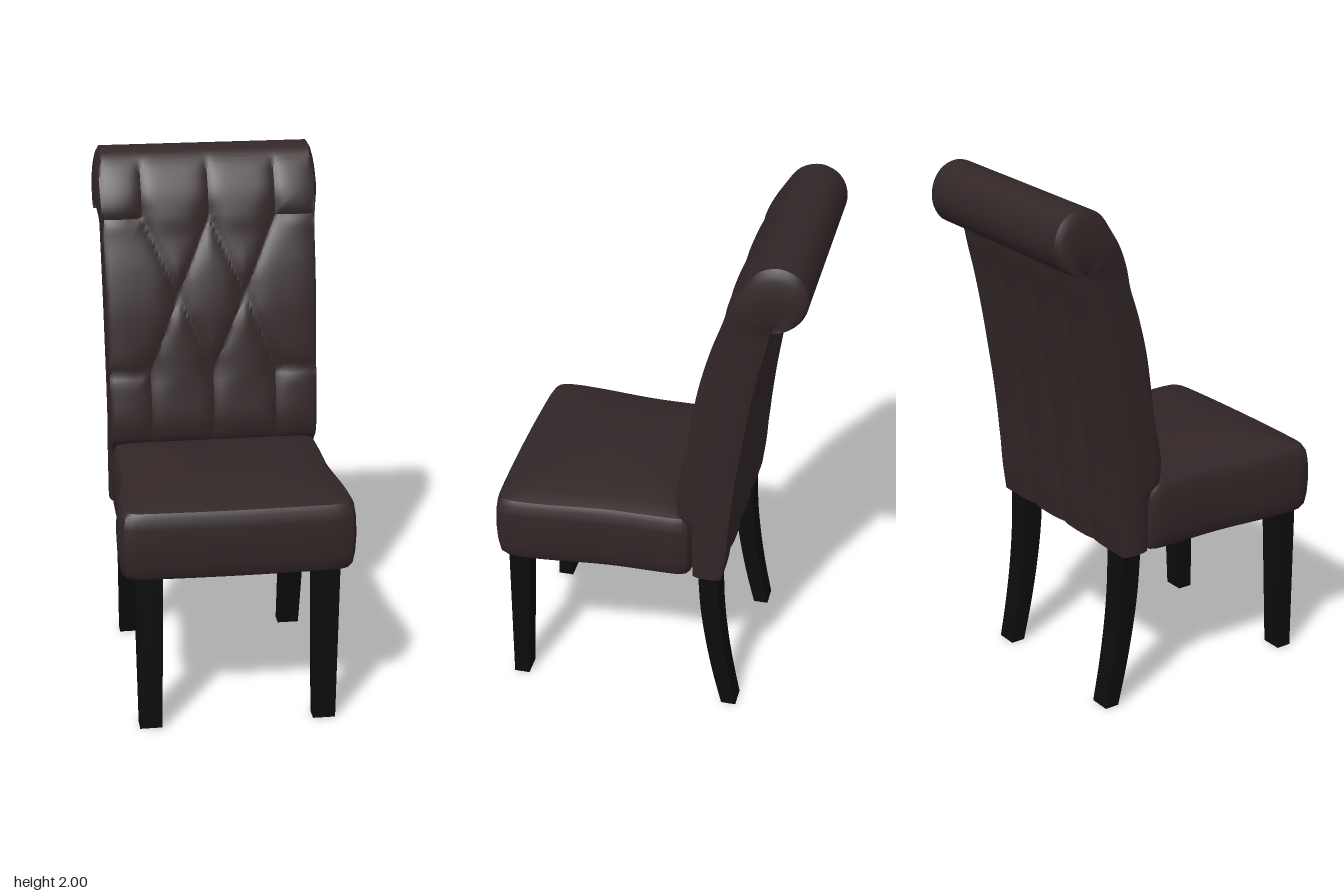
import * as THREE from 'three';
import { toCreasedNormals } from 'three/addons/utils/BufferGeometryUtils.js';

// Skin between closed rings of [x, y, z]; rings run counter-clockwise seen from above, bottom to top.
function loft(rings, crease = 0.7) {
  const n = rings[0].length, pos = rings.flat(2), idx = [];
  for (let i = 0; i < rings.length - 1; i++) {
    for (let j = 0; j < n; j++) {
      const k = (j + 1) % n, a = i * n + j, b = i * n + k;
      idx.push(a, b, b + n, a, b + n, a + n);
    }
  }
  [0, rings.length - 1].forEach((r, end) => {
    const c = pos.length / 3;
    for (let d = 0; d < 3; d++) pos.push(rings[r].reduce((s, p) => s + p[d], 0) / n);
    for (let j = 0; j < n; j++) {
      const a = r * n + j, b = r * n + (j + 1) % n;
      idx.push(c, end ? a : b, end ? b : a);
    }
  });
  const g = new THREE.BufferGeometry();
  g.setAttribute('position', new THREE.Float32BufferAttribute(pos, 3));
  g.setIndex(idx);
  return toCreasedNormals(g, crease);
}

// Seams of the tufted front, one half: x1, y1, x2, y2
const SEAMS = [
  [0, 2.0, 0, 1.75], [0.26, 1.95, 0.26, 1.75], [0.26, 1.75, 0.42, 1.75],
  [0, 1.75, 0.13, 1.46], [0.13, 1.46, 0, 1.17], [0.26, 1.75, 0.13, 1.46], [0.13, 1.46, 0.245, 1.17],
  [0.245, 1.17, 0.42, 1.17], [0, 1.17, 0, 0.9], [0.245, 1.17, 0.245, 0.9],
];
const BUTTONS = [[0, 1.75], [0.26, 1.75], [0.13, 1.46], [0, 1.17], [0.245, 1.17]];

function tuftDepth(x, y) {
  const ax = Math.abs(x);
  let d = 1;
  for (const [x1, y1, x2, y2] of SEAMS) {
    const dx = x2 - x1, dy = y2 - y1;
    const t = THREE.MathUtils.clamp(((ax - x1) * dx + (y - y1) * dy) / (dx * dx + dy * dy), 0, 1);
    d = Math.min(d, Math.hypot(ax - x1 - t * dx, y - y1 - t * dy));
  }
  let depth = 0.016 * Math.exp(-d / 0.025);
  for (const [bx, by] of BUTTONS) depth += 0.012 * Math.exp(-((ax - bx) ** 2 + (y - by) ** 2) / 0.0036);
  return depth;
}

// Padded back with a scroll top: matching front and rear profile points [z, y]
function backGeometry() {
  const front = [[-0.19, 0.63], [-0.185, 0.75], [-0.18, 0.85], [-0.13, 0.9], [-0.116, 0.96], [-0.135, 1.1],
    [-0.16, 1.25], [-0.187, 1.42], [-0.222, 1.56], [-0.26, 1.68], [-0.278, 1.76], [-0.318, 1.86], [-0.38, 1.95],
    [-0.43, 1.988], [-0.49, 2.0], [-0.55, 1.975], [-0.585, 1.92], [-0.588, 1.85], [-0.55, 1.785], [-0.48, 1.758]];
  const rear = [[-0.3, 0.63], [-0.315, 0.75], [-0.322, 0.85], [-0.327, 0.9], [-0.332, 0.96], [-0.347, 1.1],
    [-0.368, 1.25], [-0.394, 1.42], [-0.42, 1.56], [-0.447, 1.68], [-0.458, 1.735]];
  while (rear.length < front.length) rear.push([-0.465, 1.755]);
  const curve = p => new THREE.CatmullRomCurve3(p.map(([z, y]) => new THREE.Vector3(0, y, z)));
  const fc = curve(front), rc = curve(rear);
  const NV = 150, NX = 72, NS = 12, rings = [];
  for (let i = 0; i <= NV; i++) {
    const v = i / NV, f = fc.getPoint(v), r = rc.getPoint(v), ring = [];
    const onFront = v < 14 / 19;
    const roll = THREE.MathUtils.smoothstep(f.y, 1.7, 1.9);
    const w = 0.4 + 0.007 * THREE.MathUtils.smoothstep(f.y, 0.9, 1.9);
    const bulge = 0.012 + 0.016 * (onFront ? roll : 1);
    const side = (s, t) => [s * (w + bulge * Math.sin(Math.PI * t) ** 0.6),
      THREE.MathUtils.lerp(f.y, r.y, t), THREE.MathUtils.lerp(f.z, r.z, t)];
    for (let k = 1; k < NS; k++) ring.push(side(1, k / NS));
    for (let k = 0; k <= NX; k++) {
      const x = w * (1 - 2 * k / NX);
      const d = Math.min(Math.abs(x), Math.abs(Math.abs(x) - 0.2));
      const fade = 1 - THREE.MathUtils.smoothstep(r.y, 1.6, 1.73);
      ring.push([x, r.y, r.z + 0.01 * fade * Math.exp(-d / 0.03)]);
    }
    for (let k = NS - 1; k > 0; k--) ring.push(side(-1, k / NS));
    for (let k = 0; k <= NX; k++) {
      const x = w * (2 * k / NX - 1);
      const fade = THREE.MathUtils.smoothstep(f.y, 0.86, 0.95) * (1 - THREE.MathUtils.smoothstep(f.y, 1.9, 1.99));
      const dent = onFront ? fade * (tuftDepth(x, f.y) + 0.012 * Math.abs(x / w) ** 10) : 0;
      ring.push([x, f.y, f.z - dent]);
    }
    rings.push(ring);
  }
  return loft(rings);
}

// Seat cushion: rounded outline, puffed sides and a domed top
function seatGeometry() {
  const N = 24, outline = [];
  for (let s = 0; s < 4; s++) {
    for (let k = 0; k < N; k++) {
      const t = 2 * k / N - 1;
      const [u, w] = [[1, -t], [-t, -1], [-1, t], [t, 1]][s];
      const m = (Math.abs(u) ** 18 + Math.abs(w) ** 18) ** (1 / 18);
      outline.push([u / m, w / m]);
    }
  }
  const ring = (inset, scale, y) => outline.map(([u, w]) => {
    let z = 0.2 + w * 0.382 * scale;
    const width = 0.412 + 0.03 * THREE.MathUtils.smoothstep(z, 0.08, 0.5);
    if (w > 0) z += 0.01 * w * (1 - u * u);
    return [u * scale * (width - inset), y, z - w * inset * (w > 0 ? 1 : 0.4)];
  });
  const rings = [[0.05, 0.64], [0.045, 0.622], [0.02, 0.62], [0.01, 0.635], [0.003, 0.68], [0, 0.75],
    [0.003, 0.82], [0.009, 0.86], [0.02, 0.879]].map(([i, y]) => ring(i, 1, y));
  for (let k = 1; k < 14; k++) {
    const s = 1 - k / 14;
    rings.push(ring(0.02, s, 0.881 + 0.05 * (1 - s ** 2.4)));
  }
  return loft(rings, 0.6);
}

// Square leg from stations [y, inner x, outer x, rear z, front z]
function legGeometry(stations, s) {
  return loft(stations.map(([y, xi, xo, zb, zf]) => {
    const [x0, x1] = s > 0 ? [xi, xo] : [-xo, -xi];
    return [[x1, y, zf], [x1, y, zb], [x0, y, zb], [x0, y, zf]];
  }), 0.6);
}

export function createModel() {
  const upholstery = new THREE.MeshStandardMaterial({ color: 0x322627 });
  upholstery.name = 'dark brown upholstery';
  const wood = new THREE.MeshStandardMaterial({ color: 0x0c0c0c });
  wood.name = 'black wood';
  const lining = new THREE.MeshStandardMaterial({ color: 0x463b27 });
  lining.name = 'olive lining';

  const group = new THREE.Group();
  group.name = 'diningChair';
  const add = (name, geometry, material) => {
    const mesh = new THREE.Mesh(geometry, material);
    mesh.name = name;
    group.add(mesh);
    return mesh;
  };

  add('backrest', backGeometry(), upholstery);
  add('seat', seatGeometry(), upholstery);
  add('seatUnderside', new THREE.BoxGeometry(0.73, 0.008, 0.66), lining).position.set(0, 0.63, 0.2);

  // Straight tapered front legs and swept rear legs
  const frontLeg = [[0, 0.287, 0.372, 0.485, 0.545], [0.64, 0.28, 0.382, 0.46, 0.54]];
  const rearCurve = new THREE.CatmullRomCurve3([[0, -0.36, -0.303], [0.15, -0.331, -0.268], [0.3, -0.308, -0.24],
    [0.46, -0.292, -0.218], [0.66, -0.285, -0.205]].map(p => new THREE.Vector3(...p)));
  const rearLeg = rearCurve.getPoints(16).map(p => [p.x, 0.287 - 0.01 * p.x, 0.372 + 0.015 * p.x, p.y, p.z]);
  for (const [s, label] of [[1, 'left'], [-1, 'right']]) {
    add(label + 'FrontLeg', legGeometry(frontLeg, s), wood);
    add(label + 'RearLeg', legGeometry(rearLeg, s), wood);
  }
  return group;
}
